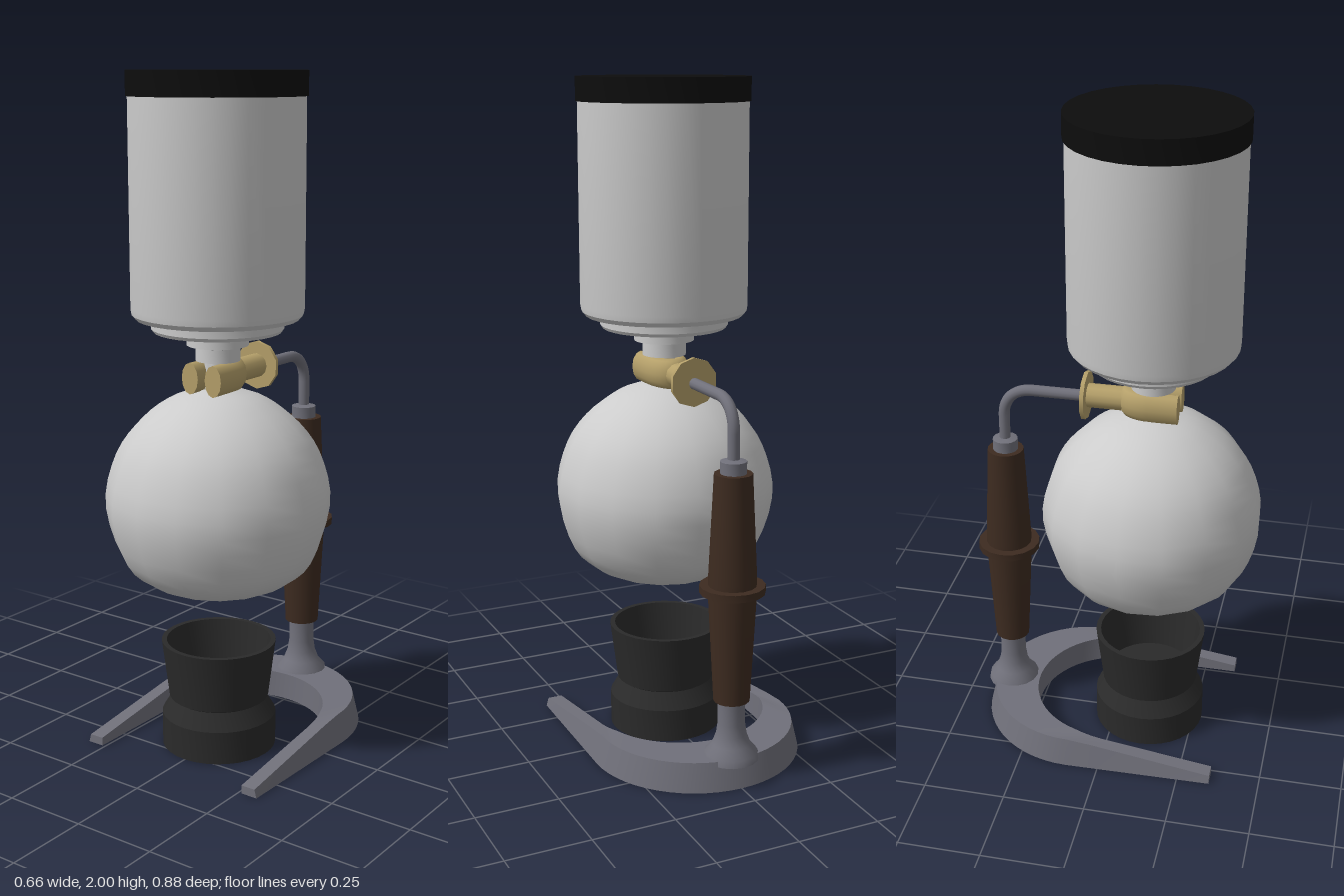
import * as THREE from 'three';
import { toCreasedNormals } from 'three/addons/utils/BufferGeometryUtils.js';

const mat = (color, side = THREE.FrontSide) => new THREE.MeshStandardMaterial({ color, side });
const AXIS_Z = 0.105; // vertical axis of the vessels and burner
const POST_Z = -0.35; // vertical axis of the handle

export function createModel() {
  const group = new THREE.Group();
  const glass = mat(0xcccccc, THREE.DoubleSide);
  const black = mat(0x0d0d0d);
  const burnerMat = mat(0x2a2a2a, THREE.DoubleSide);
  const wood = mat(0x3d2b20);
  const brass = mat(0xb5a06a);
  const metal = mat(0x70707a);

  const add = (name, geometry, material, x = 0, y = 0, z = 0) => {
    const mesh = new THREE.Mesh(geometry, material);
    mesh.name = name;
    mesh.position.set(x, y, z);
    group.add(mesh);
    return mesh;
  };
  // Turned part: profile as [radius, y], listed from bottom to top
  const turned = (name, profile, material, z, segments = 32, crease = 0.5) => {
    const points = profile.map(([r, y]) => new THREE.Vector2(r, y));
    return add(name, toCreasedNormals(new THREE.LatheGeometry(points, segments), crease), material, 0, 0, z);
  };

  // Upper chamber with stepped neck, and lid
  turned('upperChamber', [
    [0, 1.07], [0.04, 1.07], [0.04, 1.18], [0.065, 1.185], [0.065, 1.225], [0.09, 1.23], [0.09, 1.27],
    [0.185, 1.27], [0.192, 1.28], [0.192, 1.302], [0.235, 1.308], [0.247, 1.322], [0.25, 1.34], [0.25, 1.935],
  ], glass, AXIS_Z);
  turned('lid', [[0, 1.93], [0.255, 1.93], [0.255, 2], [0, 2]], black, AXIS_Z);

  // Lower globe, slightly flattened underneath
  const globeCurve = new THREE.SplineCurve([
    [0.1, 0.5], [0.2, 0.522], [0.285, 0.595], [0.332, 0.755], [0.302, 0.9], [0.235, 1.0], [0.14, 1.07], [0.05, 1.1],
  ].map(([r, y]) => new THREE.Vector2(r, y)));
  const globeProfile = [[0, 0.498], ...globeCurve.getPoints(24).map((p) => [p.x, p.y]), [0, 1.1]];
  turned('globe', globeProfile, glass, AXIS_Z, 16, 0.9).rotation.y = -0.12;

  // Open-topped burner
  turned('burner', [
    [0, 0], [0.172, 0], [0.172, 0.1], [0.142, 0.15], [0.15, 0.155], [0.172, 0.33],
    [0.157, 0.33], [0.135, 0.17], [0, 0.17],
  ], burnerMat, AXIS_Z);

  // Brass clamp: U-shaped band around the neck, open at the front
  const arc = [];
  for (let i = 0; i <= 12; i++) {
    const a = (i / 12) * Math.PI;
    arc.push(new THREE.Vector3(0.041 * Math.cos(a), 0, -0.075 * Math.sin(a)));
  }
  const clampCurve = new THREE.CatmullRomCurve3([
    new THREE.Vector3(0.041, 0, 0.08), ...arc, new THREE.Vector3(-0.041, 0, 0.08),
  ]);
  const tallen = (geometry) => geometry.scale(1, 1.6, 1);
  add('clampBand', tallen(new THREE.TubeGeometry(clampCurve, 32, 0.029, 12)), brass, 0, 1.138, AXIS_Z);
  for (const side of [-1, 1]) {
    add('clampEnd', tallen(new THREE.CircleGeometry(0.029, 12)), brass, side * 0.041, 1.138, AXIS_Z + 0.08);
  }
  const along = (radius, length, sides) => new THREE.CylinderGeometry(radius, radius, length, sides).rotateX(Math.PI / 2);
  add('clampStem', along(0.036, 0.12, 12), brass, 0, 1.138, -0.035);
  add('clampDisc', along(0.073, 0.012, 10), brass, 0, 1.138, -0.096);

  // Bent support rod from the clamp down into the handle
  const rod = new THREE.CurvePath();
  const v = (y, z) => new THREE.Vector3(0, y, z);
  rod.add(new THREE.LineCurve3(v(1.135, -0.09), v(1.135, -0.26)));
  rod.add(new THREE.CubicBezierCurve3(v(1.135, -0.26), v(1.135, -0.315), v(1.1, POST_Z), v(1.045, POST_Z)));
  rod.add(new THREE.LineCurve3(v(1.045, POST_Z), v(0.94, POST_Z)));
  add('supportRod', new THREE.TubeGeometry(rod, 40, 0.017, 12), metal);
  turned('rodCollar', [[0.038, 0.92], [0.038, 0.965], [0.018, 0.97], [0, 0.97]], metal, POST_Z, 16);

  // Wooden handle with a ring at mid-height
  turned('handle', [[0, 0.25], [0.053, 0.25], [0.07, 0.57], [0.07, 0.62], [0.055, 0.93], [0, 0.93]], wood, POST_Z, 16);
  turned('handleRing', [[0.06, 0.58], [0.095, 0.58], [0.095, 0.602], [0.06, 0.602]], wood, POST_Z, 16);

  // Flared foot of the post
  turned('postFoot', [
    [0.082, 0.07], [0.078, 0.09], [0.056, 0.115], [0.045, 0.145], [0.04, 0.18], [0.04, 0.255],
  ], metal, POST_Z, 16, 0.8);

  // Horseshoe base, swept from the model's left leg round the back to the right
  add('base', horseshoe(), metal);
  return group;
}

function horseshoe() {
  const LEG = 6, ARC = 28, FRONT = 0.35;
  const height = (z) => 0.085 - 0.06 * THREE.MathUtils.clamp((z + 0.08) / (FRONT + 0.08), 0, 1);
  // Point on one edge: straight leg, then a half circle round the back
  const edge = (i, frontX, radius, centreZ) => {
    const fromEnd = Math.min(i, LEG * 2 + ARC - i);
    if (fromEnd < LEG) {
      const t = fromEnd / LEG;
      const x = THREE.MathUtils.lerp(frontX, radius, t);
      return [i < LEG ? x : -x, THREE.MathUtils.lerp(FRONT, centreZ, t)];
    }
    const a = ((i - LEG) / ARC) * Math.PI;
    return [radius * Math.cos(a), centreZ - radius * Math.sin(a)];
  };
  const positions = [], index = [], last = LEG * 2 + ARC;
  for (let i = 0; i <= last; i++) {
    const [bx, bz] = edge(i, 0.312, 0.32, -0.1);
    const [tx, tz] = edge(i, 0.305, 0.3, -0.1);
    const [nx, nz] = edge(i, 0.26, 0.26, 0);
    positions.push(bx, 0, bz, tx, height(tz), tz, nx, height(nz), nz, nx, 0, nz);
    if (i === last) continue;
    for (let k = 0; k < 4; k++) {
      const a = i * 4 + k, b = i * 4 + ((k + 1) % 4);
      index.push(a, a + 4, b + 4, a, b + 4, b);
    }
  }
  const e = last * 4;
  index.push(0, 1, 2, 0, 2, 3, e + 3, e + 2, e + 1, e + 3, e + 1, e);
  const geometry = new THREE.BufferGeometry();
  geometry.setAttribute('position', new THREE.Float32BufferAttribute(positions, 3));
  geometry.setIndex(index);
  return toCreasedNormals(geometry, 0.5);
}
